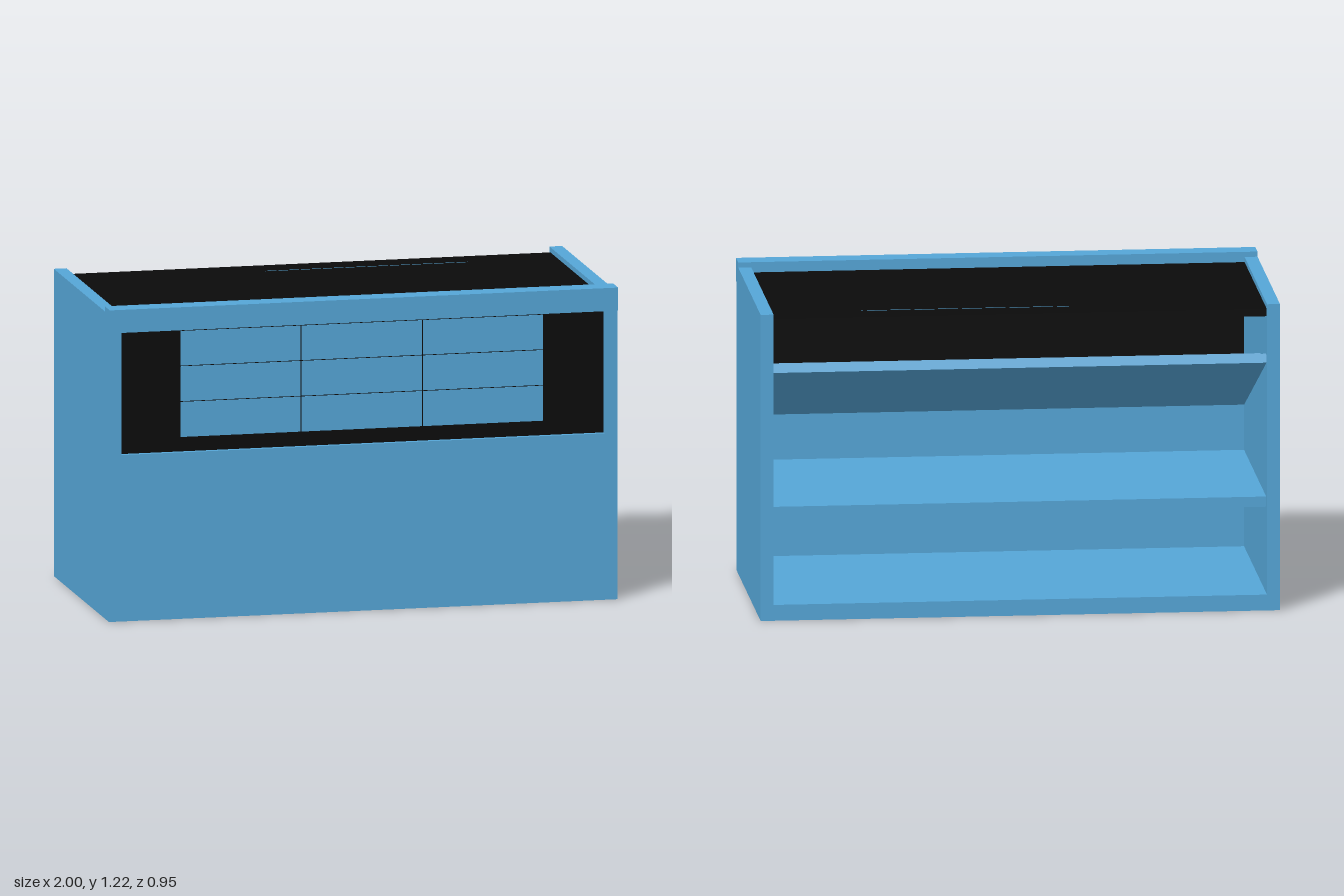
import * as THREE from 'three';

const paint = new THREE.MeshStandardMaterial({ color: 0x55a5d6, flatShading: true });
const glass = new THREE.MeshStandardMaterial({ color: 0x0a0a0a, flatShading: true });

// Box given by its lower and upper corners
function block(parent, name, [x0, y0, z0], [x1, y1, z1], material = paint) {
  const mesh = new THREE.Mesh(new THREE.BoxGeometry(x1 - x0, y1 - y0, z1 - z0), material);
  mesh.position.set((x0 + x1) / 2, (y0 + y1) / 2, (z0 + z1) / 2);
  mesh.name = name;
  parent.add(mesh);
  return mesh;
}

export function createModel() {
  const counter = new THREE.Group();
  counter.name = 'displayCounter';
  const inner = 0.95, back = -0.475, front = 0.46, panelBack = 0.41;

  // Cabinet shell, open at the back
  block(counter, 'floor', [-inner, 0, back], [inner, 0.062, panelBack]);
  for (const s of [-1, 1]) {
    block(counter, s > 0 ? 'leftSide' : 'rightSide',
      [Math.min(s, s * inner), 0, back], [Math.max(s, s * inner), 1.2, panelBack]);
    block(counter, s > 0 ? 'leftWindowPost' : 'rightWindowPost',
      [Math.min(s, s * inner), 0.65, panelBack], [Math.max(s, s * inner), 1.13, front]);
  }
  block(counter, 'frontPanel', [-1, 0, panelBack], [1, 0.65, front]);
  block(counter, 'topFrontRail', [-1, 1.13, 0.39], [1, 1.22, 0.475]);

  // Shelf at mid height
  block(counter, 'shelf', [-inner, 0.4, -0.445], [inner, 0.44, panelBack]);

  // Sloping display board with three upright ledges
  const display = new THREE.Group();
  display.name = 'slopingDisplay';
  display.position.set(0, 0.825, -0.0125);
  display.rotation.x = Math.atan2(0.35, 0.865);
  block(display, 'displayBoard', [-inner, -0.035, -0.466], [inner, 0, 0.466]);
  for (const z of [-0.24, 0, 0.25]) {
    block(display, 'displayLedge', [-inner, 0, z - 0.01], [inner, 0.04, z + 0.01]);
  }
  counter.add(display);

  // Dark glazing
  block(counter, 'topGlass', [-inner, 1.15, -0.46], [inner, 1.18, 0.39], glass);
  block(counter, 'frontGlass', [-inner, 0.65, 0.42], [inner, 1.13, 0.44], glass);

  // Three by three grid of tiles in the window
  const columns = [-0.715, -0.24, 0.238, 0.713];
  const rows = [0.705, 0.845, 0.984, 1.122];
  const gap = 0.0015;
  for (let c = 0; c < 3; c++) {
    for (let r = 0; r < 3; r++) {
      block(counter, 'windowTile', [columns[c] + gap, rows[r] + gap, 0.435],
        [columns[c + 1] - gap, rows[r + 1] - gap, 0.442]);
    }
  }

  // Fine strip set in the top glass
  block(counter, 'topStrip', [-0.2, 1.17, -0.346], [0.6, 1.181, -0.343]);
  return counter;
}
